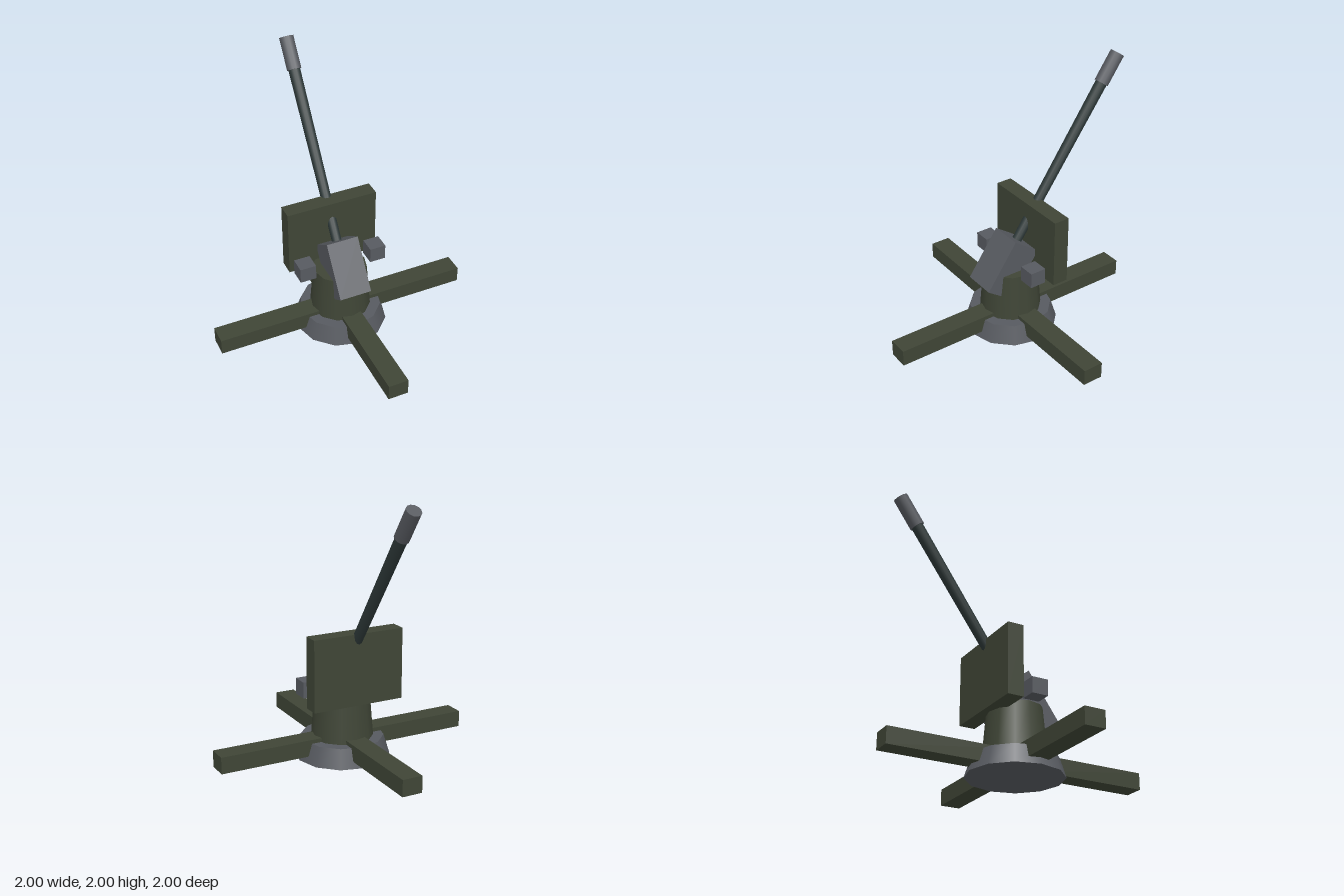
import * as THREE from 'three';

const olive = new THREE.MeshStandardMaterial({ color: 0x3f4536 });
olive.name = 'olive';
const steel = new THREE.MeshStandardMaterial({ color: 0x575a60 });
steel.name = 'steel';
const gunmetal = new THREE.MeshStandardMaterial({ color: 0x2d3838 });
gunmetal.name = 'gunmetal';

export function createModel() {
  const model = new THREE.Group();
  model.name = 'fieldGun';

  const add = (parent, name, geometry, material, x, y, z) => {
    const mesh = new THREE.Mesh(geometry, material);
    mesh.name = name;
    mesh.position.set(x, y, z);
    parent.add(mesh);
    return mesh;
  };
  const box = (w, h, d) => new THREE.BoxGeometry(w, h, d);
  const cylinder = (top, bottom, h) => new THREE.CylinderGeometry(top, bottom, h, 12);

  // Round base and tapered pedestal
  add(model, 'base', cylinder(0.31, 0.355, 0.145), steel, 0, 0.0725, 0);
  add(model, 'pedestal', cylinder(0.203, 0.232, 0.36), olive, 0, 0.325, 0);

  // Four outrigger legs, running out from the pedestal
  for (let i = 0; i < 4; i++) {
    const leg = new THREE.Group();
    leg.name = 'leg' + (i + 1);
    leg.rotation.y = (i * Math.PI) / 2;
    add(leg, 'legBeam', box(0.155, 0.125, 0.9), olive, 0, 0.1125, 0.55);
    model.add(leg);
  }

  // Flat shield and the trunnion blocks beside the gun
  add(model, 'shield', box(0.714, 0.535, 0.123), olive, 0, 0.7175, -0.197);
  for (const side of [-1, 1]) {
    add(model, side > 0 ? 'leftTrunnion' : 'rightTrunnion',
      box(0.125, 0.12, 0.125), steel, side * 0.285, 0.56, 0);
  }

  // Elevated gun: its local y axis runs along the bore
  const gun = new THREE.Group();
  gun.name = 'gun';
  gun.position.set(0, 0.5225, 0.06);
  gun.rotation.x = THREE.MathUtils.degToRad(-35.08);
  add(gun, 'breech', box(0.25, 0.422, 0.25), steel, 0, 0, 0);
  add(gun, 'barrel', cylinder(0.046, 0.037, 1.5), gunmetal, 0, 0.9, 0);
  add(gun, 'muzzle', cylinder(0.055, 0.055, 0.246), steel, 0, 1.643, 0);
  model.add(gun);

  return model;
}
